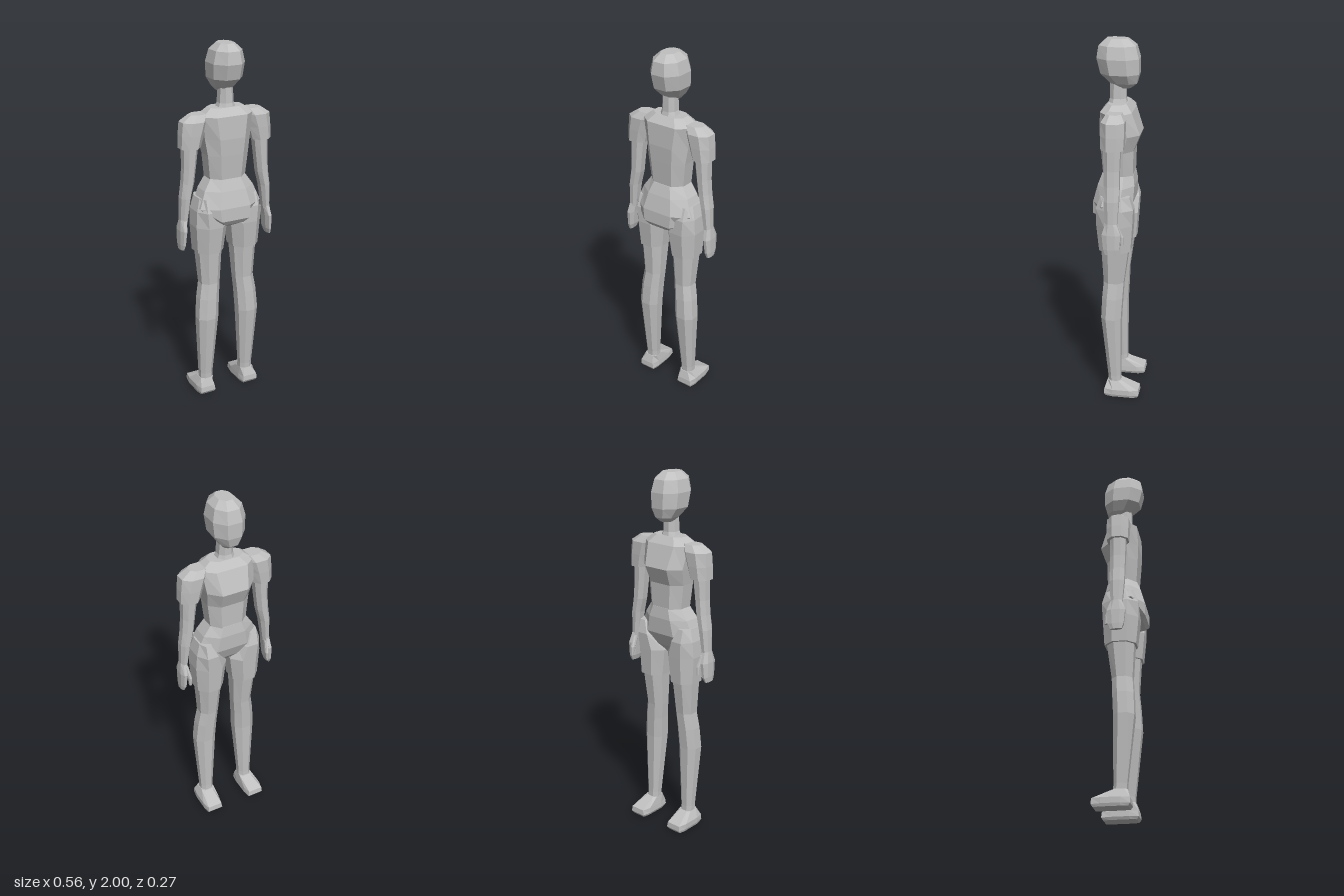
import * as THREE from 'three';

const grey = new THREE.MeshStandardMaterial({ color: 0xc0c0c0, flatShading: true });
grey.name = 'plainGrey';

// Eight-sided section: y, x range, z range, flat share of the x and z sides
function section([y, x0, x1, z0, z1, fx = 0.45, fz = 0.45]) {
  const cx = (x0 + x1) / 2, cz = (z0 + z1) / 2, w = (x1 - x0) / 2, d = (z1 - z0) / 2;
  return [[1, fz], [fx, 1], [-fx, 1], [-1, fz], [-1, -fz], [-fx, -1], [fx, -1], [1, -fz]]
    .map(([u, v]) => new THREE.Vector3(cx + u * w, y, cz + v * d));
}

// Faceted solid through sections listed from bottom to top
function loft(name, rows) {
  const rings = rows.map(section), pos = [];
  const tri = (...p) => p.forEach(v => pos.push(v.x, v.y, v.z));
  for (let i = 0; i + 1 < rings.length; i++) {
    for (let j = 0; j < 8; j++) {
      const k = (j + 1) % 8;
      tri(rings[i][j], rings[i + 1][j], rings[i + 1][k]);
      tri(rings[i][j], rings[i + 1][k], rings[i][k]);
    }
  }
  const lo = rings[0], hi = rings[rings.length - 1];
  for (let j = 1; j < 7; j++) {
    tri(lo[0], lo[j], lo[j + 1]);
    tri(hi[0], hi[j + 1], hi[j]);
  }
  const g = new THREE.BufferGeometry();
  g.setAttribute('position', new THREE.Float32BufferAttribute(pos, 3));
  g.computeVertexNormals();
  const mesh = new THREE.Mesh(g, grey);
  mesh.name = name;
  return mesh;
}

// Limb parts for the +x side; the figure looks towards -z
const limbs = {
  Shorts: [
    [0.88, 0.03, 0.185, -0.08, 0.09],
    [1.03, 0.012, 0.195, -0.09, 0.105],
    [1.12, 0.05, 0.19, -0.095, 0.105],
    [1.19, 0.10, 0.17, -0.075, 0.08],
  ],
  Leg: [
    [0.07, 0.09, 0.165, -0.03, 0.04],
    [0.12, 0.09, 0.165, -0.028, 0.042],
    [0.48, 0.065, 0.185, -0.03, 0.08],
    [0.60, 0.058, 0.175, -0.037, 0.075],
    [0.69, 0.05, 0.16, -0.042, 0.068],
    [0.90, 0.037, 0.175, -0.07, 0.08],
  ],
  Foot: [
    [0.00, 0.09, 0.185, -0.125, 0.052, 0.85, 0.6],
    [0.015, 0.083, 0.19, -0.135, 0.062, 0.85, 0.5],
    [0.045, 0.085, 0.19, -0.132, 0.06, 0.8, 0.5],
    [0.09, 0.09, 0.168, -0.035, 0.045, 0.6, 0.6],
  ],
  Sleeve: [
    [1.47, 0.155, 0.265, -0.055, 0.062],
    [1.54, 0.135, 0.262, -0.058, 0.064],
    [1.61, 0.11, 0.255, -0.058, 0.064],
    [1.645, 0.10, 0.205, -0.035, 0.042],
  ],
  Arm: [
    [1.06, 0.232, 0.272, -0.025, 0.035],
    [1.20, 0.212, 0.268, -0.035, 0.045],
    [1.28, 0.192, 0.257, -0.035, 0.045],
    [1.36, 0.182, 0.251, -0.035, 0.047],
    [1.50, 0.165, 0.25, -0.04, 0.05],
  ],
  Hand: [
    [0.91, 0.257, 0.277, -0.025, 0.035],
    [0.94, 0.248, 0.279, -0.04, 0.045],
    [1.02, 0.24, 0.279, -0.047, 0.053],
    [1.08, 0.232, 0.272, -0.025, 0.035],
  ],
  Thumb: [
    [0.955, 0.232, 0.246, -0.06, -0.042],
    [1.0, 0.228, 0.248, -0.06, -0.03],
    [1.06, 0.235, 0.255, -0.035, 0.0],
  ],
};

export function createModel() {
  const model = new THREE.Group();
  model.name = 'figure';

  model.add(loft('head', [
    [1.745, -0.03, 0.03, -0.06, 0.0],
    [1.77, -0.052, 0.052, -0.092, 0.045],
    [1.82, -0.084, 0.084, -0.105, 0.095],
    [1.90, -0.09, 0.09, -0.105, 0.115],
    [1.965, -0.075, 0.075, -0.087, 0.105],
    [2.00, -0.04, 0.04, -0.045, 0.067],
  ]));
  model.add(loft('neck', [
    [1.65, -0.055, 0.055, -0.045, 0.06],
    [1.69, -0.04, 0.04, -0.035, 0.05],
    [1.78, -0.036, 0.036, -0.035, 0.047],
  ]));
  model.add(loft('torso', [
    [1.28, -0.105, 0.105, -0.08, 0.08, 0.55],
    [1.42, -0.12, 0.12, -0.083, 0.09, 0.55],
    [1.51, -0.134, 0.134, -0.118, 0.095, 0.55],
    [1.63, -0.148, 0.148, -0.077, 0.09, 0.6],
    [1.67, -0.095, 0.095, -0.045, 0.055, 0.6],
  ]));
  model.add(loft('pelvis', [
    [1.01, -0.025, 0.025, 0.0, 0.05],
    [1.045, -0.08, 0.08, -0.035, 0.115, 0.7],
    [1.07, -0.11, 0.11, -0.055, 0.132, 0.75],
    [1.14, -0.18, 0.18, -0.085, 0.13, 0.5],
    [1.23, -0.145, 0.145, -0.09, 0.107, 0.5],
    [1.29, -0.105, 0.105, -0.082, 0.085, 0.5],
  ]));

  // Mirrored limbs
  for (const [side, s] of [['left', 1], ['right', -1]]) {
    for (const [part, rows] of Object.entries(limbs)) {
      model.add(loft(side + part, rows.map(([y, x0, x1, ...rest]) =>
        s > 0 ? [y, x0, x1, ...rest] : [y, -x1, -x0, ...rest])));
    }
  }
  return model;
}
